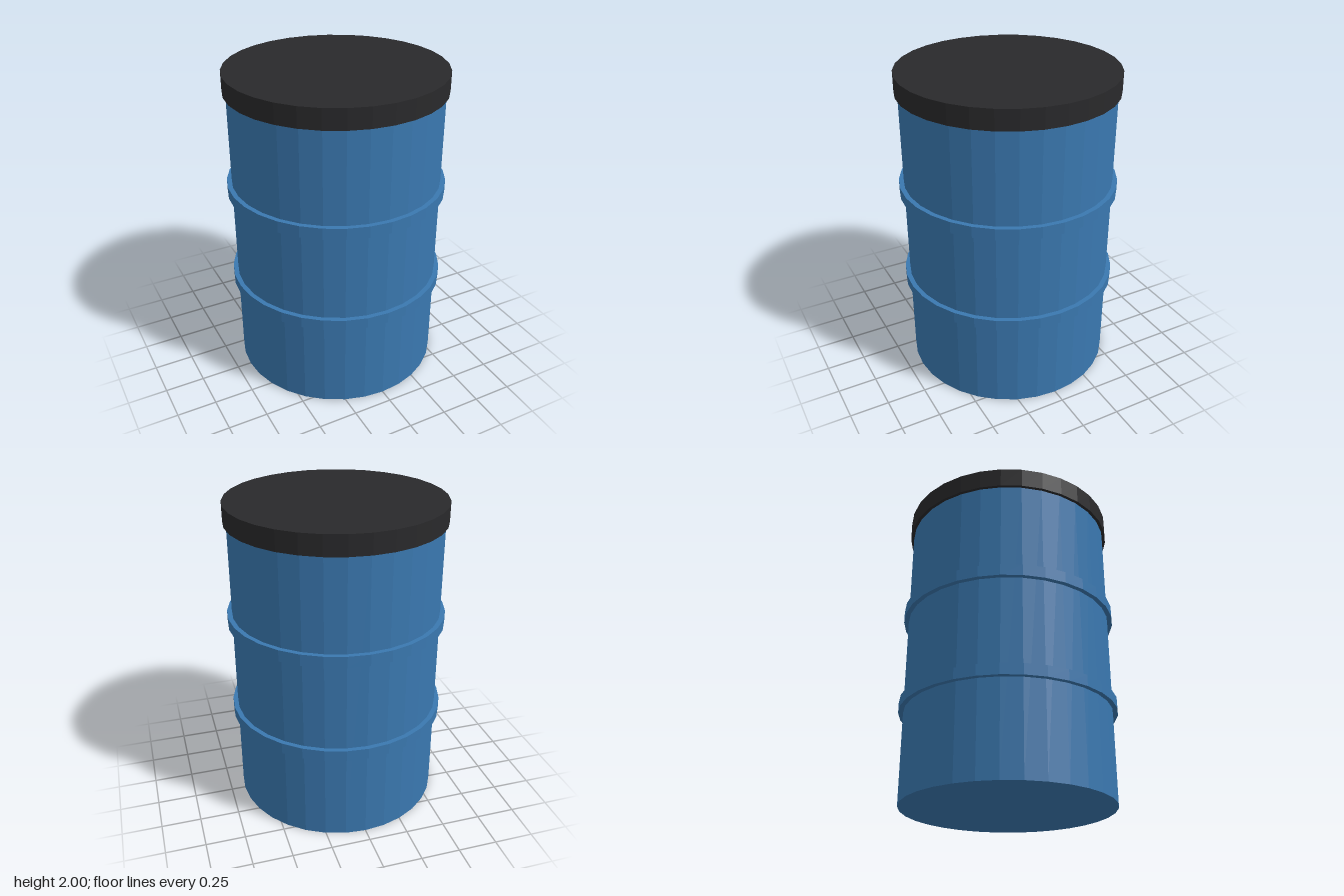
import * as THREE from 'three';

const SIDES = 32;

export function createModel() {
  const group = new THREE.Group();
  const blue = new THREE.MeshStandardMaterial({ color: 0x3a78b0, flatShading: true });
  const black = new THREE.MeshStandardMaterial({ color: 0x29292b, flatShading: true });

  // Upright capped cylinder spanning y0..y1
  function drum(name, radius, y0, y1, material) {
    const mesh = new THREE.Mesh(new THREE.CylinderGeometry(radius, radius, y1 - y0, SIDES), material);
    mesh.name = name;
    mesh.position.y = (y0 + y1) / 2;
    group.add(mesh);
  }

  // Barrel wall and base, closed by the overhanging lid
  drum('body', 0.66, 0, 1.9, blue);
  drum('lid', 0.68, 1.875, 2, black);

  // Two raised hoops around the body
  drum('lowerHoop', 0.69, 0.585, 0.655, blue);
  drum('upperHoop', 0.69, 1.22, 1.293, blue);

  return group;
}
